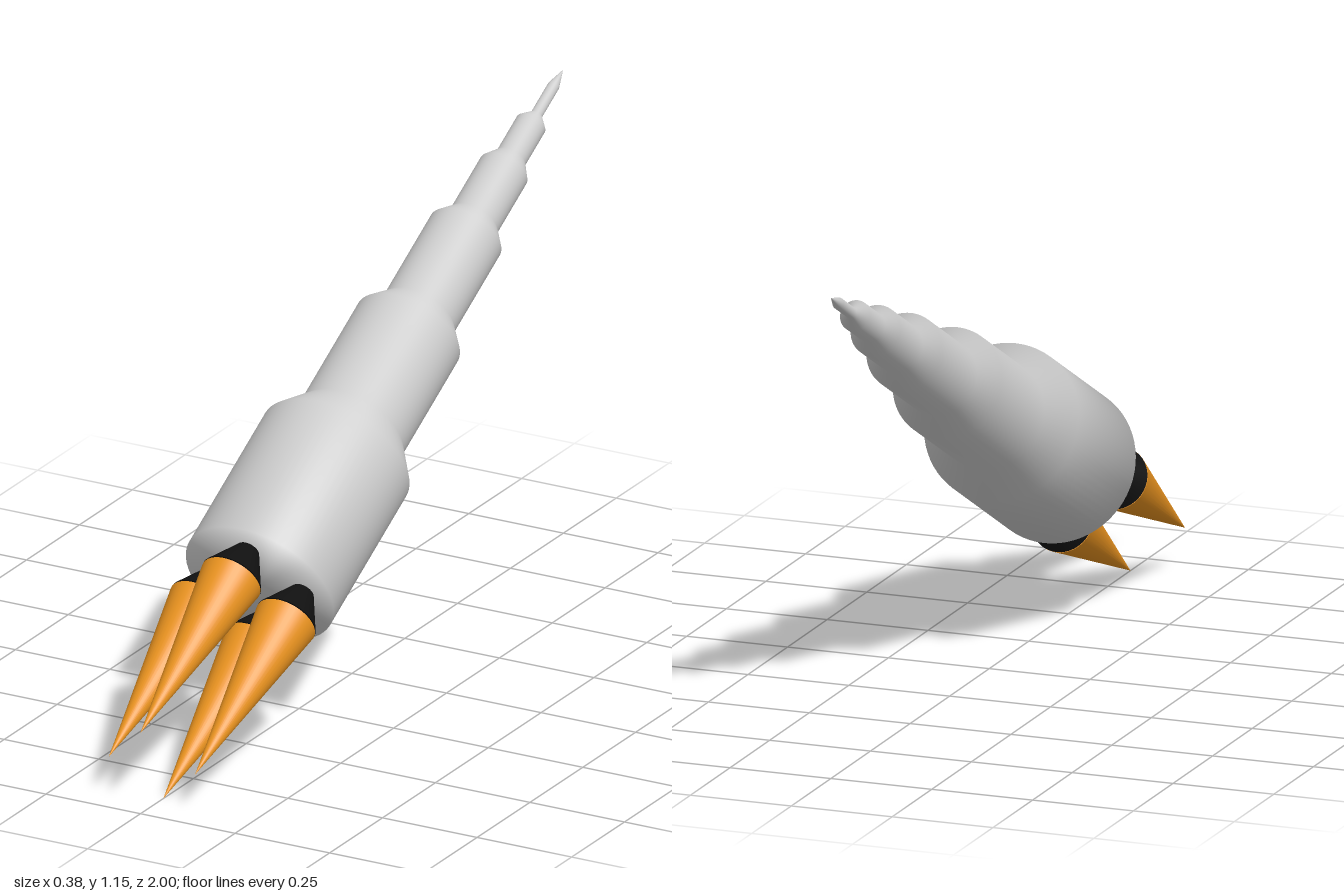
import * as THREE from 'three';

const hull = new THREE.MeshStandardMaterial({ color: 0xcccccc });
hull.name = 'lightGrey';
const nozzle = new THREE.MeshStandardMaterial({ color: 0x111111 });
nozzle.name = 'black';
const flame = new THREE.MeshStandardMaterial({ color: 0xe8921f });
flame.name = 'orange';

// Solid of revolution from [radius, height] pairs, bottom to top
function lathe(name, profile, material, segments) {
  const points = profile.map(([r, y]) => new THREE.Vector2(r, y));
  const mesh = new THREE.Mesh(new THREE.LatheGeometry(points, segments), material);
  mesh.name = name;
  return mesh;
}

export function createModel() {
  const model = new THREE.Group();
  model.name = 'rocket';

  // Everything is built along +y, then tilted so the nose points back and up
  const ship = new THREE.Group();
  ship.name = 'tiltedRocket';
  ship.rotation.x = -THREE.MathUtils.degToRad(61.6);
  ship.position.set(0, 0.377, 0.436);
  model.add(ship);

  // Stepped hull: each stage is [radius, bottom, shoulder height]
  const stages = [
    [0.189, 0, 0.408],
    [0.133, 0.492, 0.797],
    [0.092, 0.853, 1.106],
    [0.061, 1.15, 1.311],
    [0.037, 1.35, 1.458],
    [0.014, 1.488, 1.58],
  ];
  const profile = [[0, 0]];
  for (const [r, bottom, top] of stages) profile.push([r, bottom], [r, top]);
  profile.push([0, 1.632]);
  ship.add(lathe('hull', profile, hull, 64));

  // Four engines in a ring, each with a flaring nozzle and a pointed flame
  for (let i = 0; i < 4; i++) {
    const engine = new THREE.Group();
    engine.name = 'engine' + (i + 1);
    const a = (i * Math.PI) / 2;
    engine.position.set(Math.sin(a) * 0.114, 0, Math.cos(a) * 0.114);

    const bell = new THREE.Mesh(new THREE.CylinderGeometry(0.022, 0.075, 0.1, 40), nozzle);
    bell.name = 'nozzle';
    bell.position.y = -0.039;

    const fire = new THREE.Mesh(new THREE.ConeGeometry(0.075, 0.488, 40), flame);
    fire.name = 'flame';
    fire.rotation.x = Math.PI;
    fire.position.y = -0.336;

    engine.add(bell, fire);
    ship.add(engine);
  }
  return model;
}
